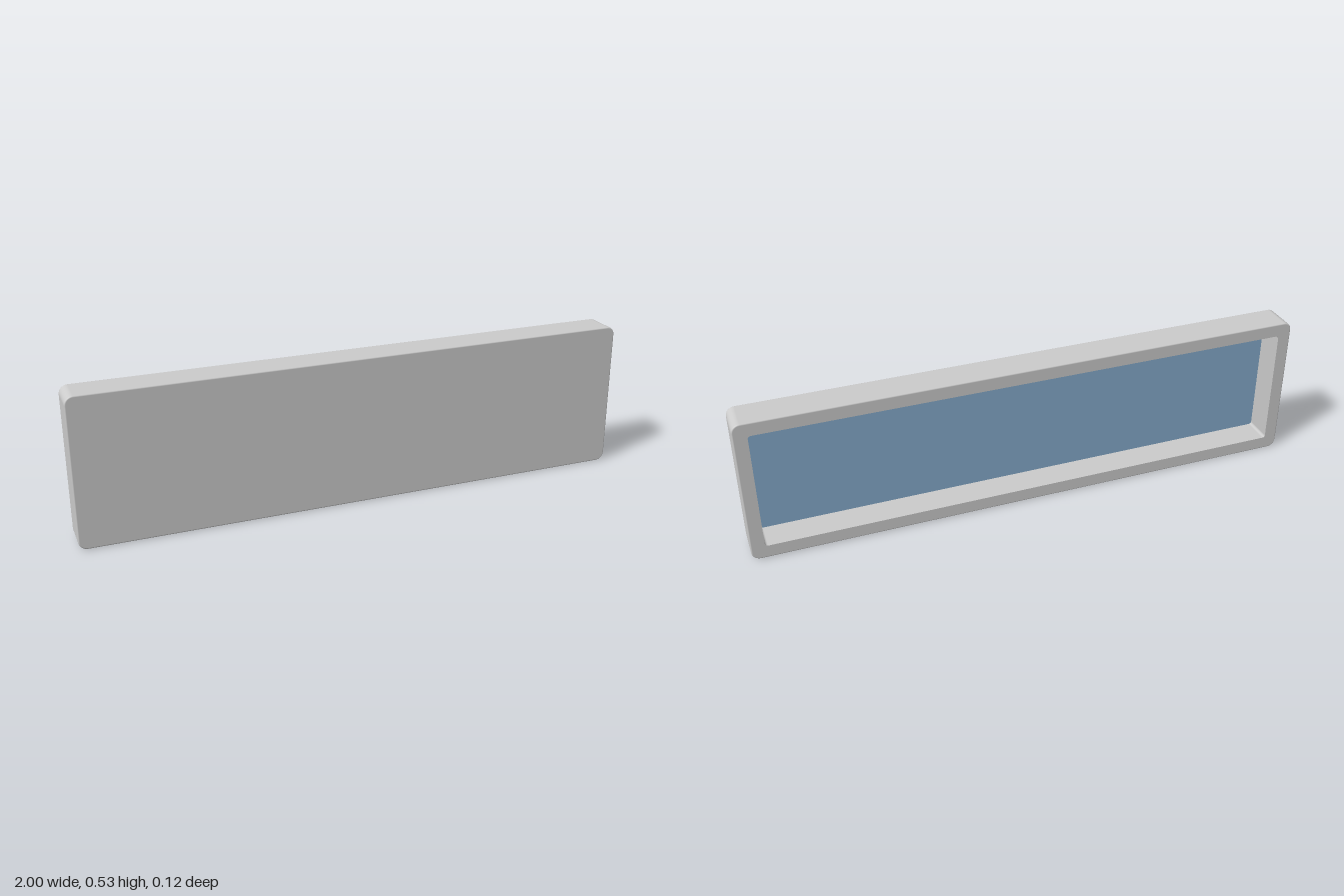
import * as THREE from 'three';

const W = 1, H = 0.267, D = 0.06;      // half sizes of the case
const CORNER = 0.03, BEVEL = 0.005;    // corner radius and edge rounding
const RIM = 0.048, INNER = 0.01;       // rim width and corner radius of the opening
const FLOOR = 0.044;                   // z of the recess floor
const STEPS = 8;

// Skins rounded-rectangle rings. Each row: [inset, corner radius, z, tilt of the normal].
// An inset of null collapses the ring to the centre.
function skin(rows) {
  const pos = [], nor = [], index = [], n = 4 * (STEPS + 1);
  for (const [inset, r, z, tilt] of rows) {
    for (let q = 0; q < 4; q++) {
      const sx = q === 0 || q === 3 ? 1 : -1, sy = q < 2 ? 1 : -1;
      for (let s = 0; s <= STEPS; s++) {
        const a = (q + s / STEPS) * Math.PI / 2;
        if (inset === null) pos.push(0, H, z);
        else pos.push(
          sx * (W - inset - r) + r * Math.cos(a),
          H + sy * (H - inset - r) + r * Math.sin(a), z);
        nor.push(Math.cos(a) * Math.cos(tilt), Math.sin(a) * Math.cos(tilt), Math.sin(tilt));
      }
    }
  }
  for (let i = 0; i < rows.length - 1; i++) {
    for (let j = 0; j < n; j++) {
      const a = i * n + j, b = i * n + (j + 1) % n;
      index.push(a, a + n, b + n, a, b + n, b);
    }
  }
  const g = new THREE.BufferGeometry();
  g.setAttribute('position', new THREE.Float32BufferAttribute(pos, 3));
  g.setAttribute('normal', new THREE.Float32BufferAttribute(nor, 3));
  g.setIndex(index);
  return g;
}

// Quarter-round rows along an outer edge, from one tilt to another
function roundedEdge(zCentre, from, to) {
  const rows = [];
  for (let i = 0; i <= 4; i++) {
    const t = from + (to - from) * i / 4;
    const inset = BEVEL * (1 - Math.cos(t));
    rows.push([inset, CORNER - inset, zCentre + BEVEL * Math.sin(t), t]);
  }
  return rows;
}

export function createModel() {
  const group = new THREE.Group();
  group.name = 'shallowTray';
  const q = Math.PI / 2;

  // Case: front face, outer walls, rim and inner walls
  const caseMesh = new THREE.Mesh(
    skin([
      [null, 0, D, q],
      ...roundedEdge(D - BEVEL, q, 0),
      ...roundedEdge(-D + BEVEL, 0, -q),
      [RIM, INNER, -D, -q],
      [RIM, INNER, -D, Math.PI],
      [RIM, INNER, FLOOR, Math.PI],
    ]),
    new THREE.MeshStandardMaterial({ color: 0xcccccc }));
  caseMesh.name = 'case';
  group.add(caseMesh);

  // Coloured panel on the floor of the recess, facing the back
  const panel = new THREE.Mesh(
    skin([[RIM, INNER, FLOOR, -q], [null, 0, FLOOR, -q]]),
    new THREE.MeshStandardMaterial({ color: 0x86accc }));
  panel.name = 'recessPanel';
  group.add(panel);

  return group;
}
